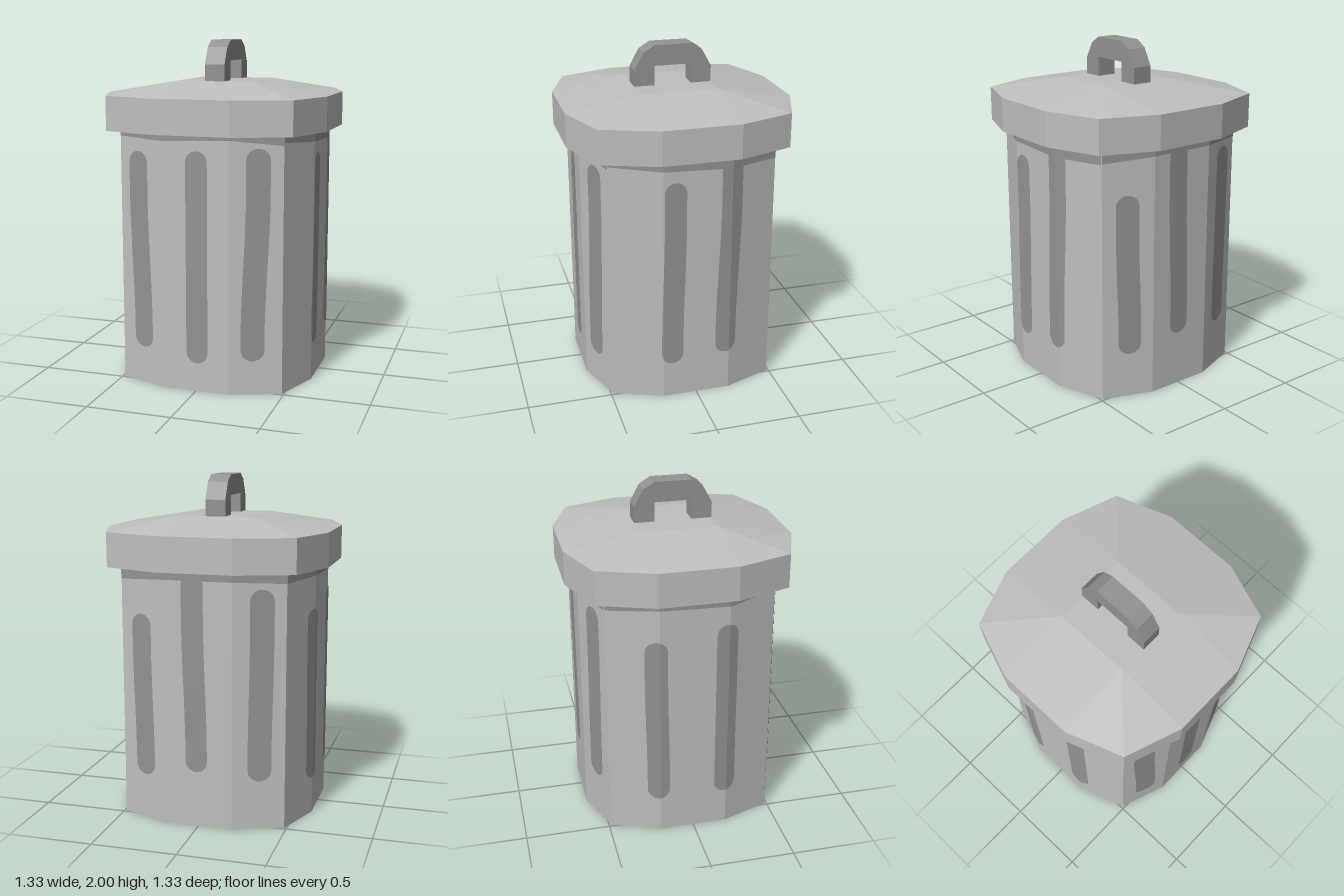
import * as THREE from 'three';
import { ConvexGeometry } from 'three/addons/geometries/ConvexGeometry.js';

const R = 0.593, C = 0.487, E = 0.2; // body: face distance, corner, facet edge

const lightMetal = new THREE.MeshStandardMaterial({ color: 0xbfbfbf });
const darkMetal = new THREE.MeshStandardMaterial({ color: 0x939393 });
lightMetal.name = 'lightMetal';
darkMetal.name = 'darkMetal';

// Twelve-sided outline: square with bulging sides
function outline(edge, face, corner) {
  const pts = [];
  for (let k = 0; k < 4; k++) {
    for (const [x, y] of [[face, -edge], [face, edge], [corner, corner]]) {
      const v = new THREE.Vector2(x, y).rotateAround(new THREE.Vector2(), k * Math.PI / 2);
      pts.push(v);
    }
  }
  return pts;
}

// Surface point on a side, u running to the right as seen from outside
function sidePoint(side, u, y) {
  const over = Math.max(0, Math.abs(u) - E);
  const d = R - over * (R - C) / (C - E) + 0.004;
  return new THREE.Vector3(u, y, d).applyAxisAngle(new THREE.Vector3(0, 1, 0), side * Math.PI / 2);
}

// Painted skin that folds over the facet edges; rows are [y, uLeft, uRight], going up
function skin(side, rows) {
  const pos = [];
  const grid = rows.map(([y, a, b]) =>
    [a, THREE.MathUtils.clamp(-E, a, b), THREE.MathUtils.clamp(E, a, b), b].map(u => sidePoint(side, u, y)));
  const tri = (a, b, c) => {
    if (new THREE.Triangle(a, b, c).getArea() > 1e-8) for (const p of [a, b, c]) pos.push(p.x, p.y, p.z);
  };
  for (let i = 0; i + 1 < grid.length; i++) {
    for (let j = 0; j < 3; j++) {
      const a = grid[i][j], b = grid[i][j + 1], c = grid[i + 1][j + 1], d = grid[i + 1][j];
      tri(a, b, c);
      tri(a, c, d);
    }
  }
  const g = new THREE.BufferGeometry();
  g.setAttribute('position', new THREE.Float32BufferAttribute(pos, 3));
  g.computeVertexNormals();
  return g;
}

// Round-ended groove leaning from u0 at the bottom to u1 at the top
function groove(side, u0, u1, y0, y1) {
  const w = 0.064, rows = [];
  const add = (y, half) => {
    const t = (y - y0) / (y1 - y0);
    const u = THREE.MathUtils.lerp(u0, u1, THREE.MathUtils.smoothstep(t, 0.1, 0.8));
    rows.push([y, u - half, u + half]);
  };
  for (let i = 0; i <= 6; i++) add(y0 + w * (1 - Math.cos(i * Math.PI / 12)), w * Math.sin(i * Math.PI / 12));
  for (let i = 1; i < 8; i++) add(THREE.MathUtils.lerp(y0 + w, y1 - w, i / 8), w);
  for (let i = 6; i >= 0; i--) add(y1 - w * (1 - Math.cos(i * Math.PI / 12)), w * Math.sin(i * Math.PI / 12));
  return skin(side, rows);
}

// Dark band under the lid with an uneven lower edge
function band(side, lows) {
  const us = [-C, -E, E, C], pos = [], idx = [];
  us.forEach((u, i) => {
    for (const y of [lows[i], 1.495]) pos.push(...sidePoint(side, u, y).toArray());
    if (i < 3) idx.push(2 * i, 2 * i + 2, 2 * i + 3, 2 * i, 2 * i + 3, 2 * i + 1);
  });
  const g = new THREE.BufferGeometry();
  g.setAttribute('position', new THREE.Float32BufferAttribute(pos, 3));
  g.setIndex(idx);
  const flat = g.toNonIndexed();
  flat.computeVertexNormals();
  return flat;
}

export function createModel() {
  const model = new THREE.Group();
  model.name = 'trashCan';
  const add = (name, geometry, material) => {
    const mesh = new THREE.Mesh(geometry, material);
    mesh.name = name;
    model.add(mesh);
  };

  // Body with dark base
  const body = new THREE.ExtrudeGeometry(new THREE.Shape(outline(E, R, C)), { depth: 1.5, bevelEnabled: false });
  body.rotateX(-Math.PI / 2);
  add('body', body, [darkMetal, lightMetal]);

  // Lid: upright rim rising to a flat square crown
  const lid = [];
  for (const p of outline(0.225, 0.667, 0.55)) {
    for (const y of [1.49, 1.69]) lid.push(new THREE.Vector3(p.x, y, p.y));
  }
  for (const x of [-0.225, 0.225]) for (const z of [-0.225, 0.225]) lid.push(new THREE.Vector3(x, 1.765, z));
  add('lid', new ConvexGeometry(lid), lightMetal);

  // Handle arch
  const arch = [[0.23, 1.76], [0.23, 1.86], [0.175, 1.96], [0.11, 2], [-0.11, 2], [-0.175, 1.96], [-0.23, 1.86],
    [-0.23, 1.76], [-0.11, 1.76], [-0.11, 1.88], [0.11, 1.88], [0.11, 1.76]];
  const handle = new THREE.ExtrudeGeometry(new THREE.Shape(arch.map(p => new THREE.Vector2(...p))),
    { depth: 0.12, bevelEnabled: false });
  handle.translate(0, 0, -0.06).rotateY(Math.PI / 2);
  add('handle', handle, darkMetal);

  // Grooves: side (0 front, 1 left, 2 back, 3 right), bottom u, top u, bottom y, top y
  const grooves = [
    [0, -0.335, -0.36, 0.22, 1.38], [0, 0.01, 0.01, 0.17, 1.4], [0, 0.328, 0.355, 0.2, 1.42],
    [1, -0.147, -0.13, 0.22, 1.36], [1, 0.178, 0.203, 0.25, 1.49],
    [2, -0.335, -0.35, 0.27, 1.23], [2, -0.01, -0.03, 0.33, 1.48], [2, 0.35, 0.36, 0.29, 1.4],
    [3, -0.21, -0.22, 0.22, 1.25], [3, 0.19, 0.19, 0.22, 1.32],
  ];
  grooves.forEach((g, i) => add('groove' + (i + 1), groove(...g), darkMetal));

  // Bands under the lid
  [[1.46, 1.45, 1.465, 1.435], [1.45, 1.43, 1.415, 1.415], [1.42, 1.44, 1.44, 1.43], [1.43, 1.44, 1.43, 1.46]]
    .forEach((lows, side) => add('rimBand' + (side + 1), band(side, lows), darkMetal));

  return model;
}
